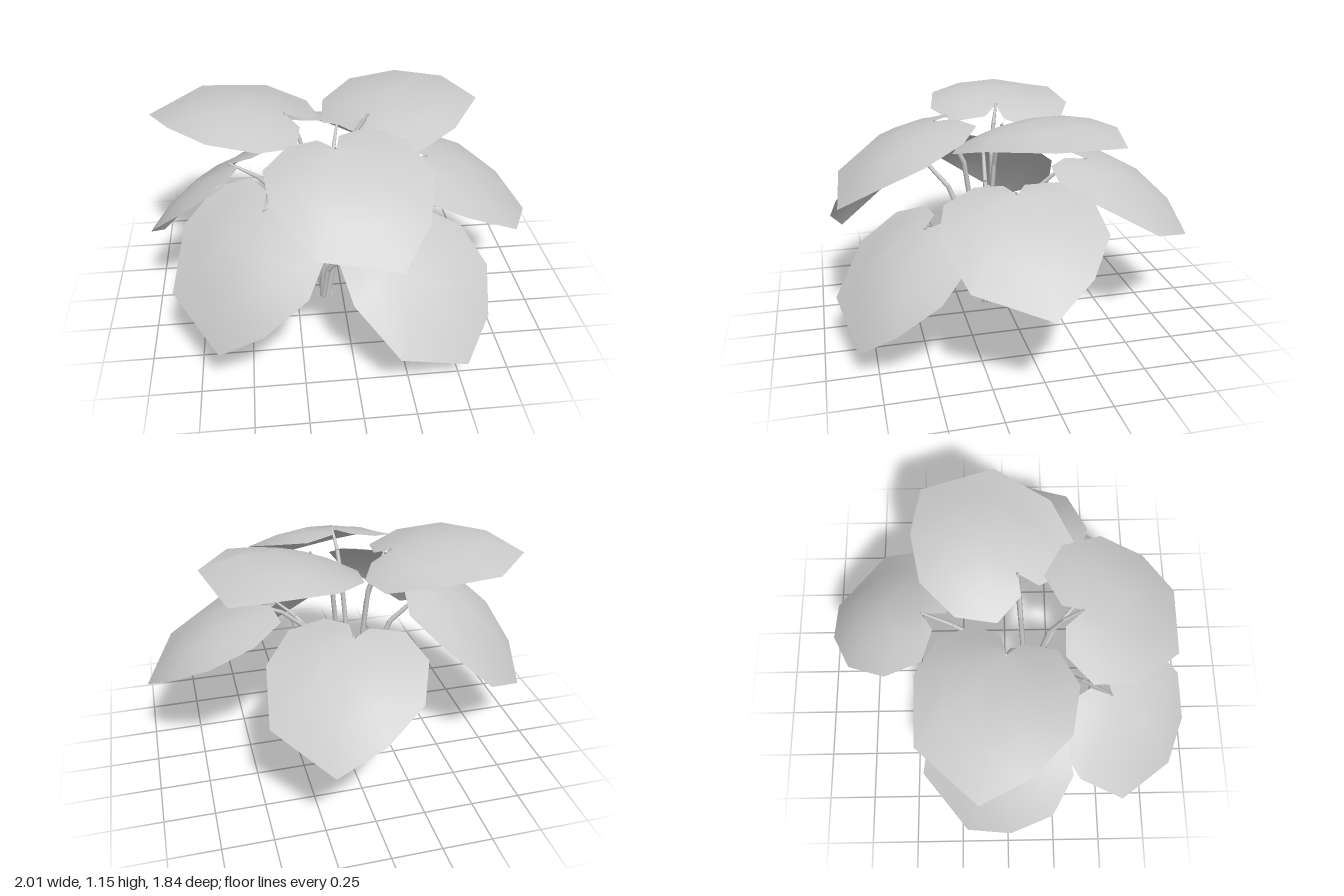
import * as THREE from 'three';
import { mergeGeometries } from 'three/addons/utils/BufferGeometryUtils.js';

const V = (a) => new THREE.Vector3(...a);
const UP = new THREE.Vector3(0, 1, 0);
const ROOT = new THREE.Vector3(-0.09, 0, 0.09);

// Each leaf: notch where the stem joins, tip, and roll about the midrib
const LEAVES = [
  { notch: [0.03, 0.84, -0.42], tip: [0.24, 0.45, -0.92], roll: -0.03 },
  { notch: [-0.28, 1.08, 0.0], tip: [-0.95, 1.05, -0.13], roll: 0 },
  { notch: [-0.57, 0.82, 0.02], tip: [-0.97, 0.3, -0.21], roll: 0 },
  { notch: [-0.41, 0.84, 0.51], tip: [-0.64, 0.32, 0.86], roll: -0.04 },
  { notch: [-0.06, 1.07, 0.37], tip: [0.18, 0.73, 0.88], roll: -0.13 },
  { notch: [0.26, 0.62, 0.48], tip: [0.52, 0.13, 0.84], roll: -0.07 },
  { notch: [0.44, 0.83, 0.06], tip: [1.0, 0.46, 0.03], roll: -0.08 },
  { notch: [0.13, 1.08, 0.06], tip: [0.6, 1.07, -0.41], roll: 0.04 },
];

// Blade outline [sideways, along], lobe to lobe past the tip; slightly lopsided
const LENGTH = 0.66;
const OUTLINE = [
  [0.04, -0.1], [0.17, -0.14], [0.335, -0.06], [0.4, 0.155], [0.325, 0.47],
  [0, LENGTH],
  [-0.21, 0.51], [-0.355, 0.3], [-0.355, 0.07], [-0.23, -0.085], [-0.06, -0.08],
];

// Blade: a fan of rings around the notch, arched along and across
function bladeGeometry({ notch, tip, roll }) {
  const base = V(notch);
  const along = V(tip).sub(base);
  const stretch = along.length() / LENGTH;
  along.normalize();
  const side = along.clone().cross(UP).normalize().applyAxisAngle(along, -roll);
  const normal = side.clone().cross(along);
  const positions = [...base.toArray()];
  const index = [];
  const rings = 3, n = OUTLINE.length;
  for (let r = 1; r <= rings; r++) {
    for (const [pu, pv] of OUTLINE) {
      const u = pu * r / rings, v = pv * r / rings, t = v / LENGTH;
      const h = 0.3 * t * (1 - t) - 0.45 * u * u;
      const p = base.clone().addScaledVector(side, u)
        .addScaledVector(along, v * stretch).addScaledVector(normal, h);
      positions.push(...p.toArray());
    }
  }
  for (let i = 0; i < n - 1; i++) {
    index.push(0, 1 + i, 2 + i);
    for (let r = 1; r < rings; r++) {
      const a = 1 + (r - 1) * n + i, b = a + n;
      index.push(a, b, b + 1, a, b + 1, a + 1);
    }
  }
  const g = new THREE.BufferGeometry();
  g.setAttribute('position', new THREE.Float32BufferAttribute(positions, 3));
  g.setIndex(index);
  g.computeVertexNormals();
  return g;
}

// One straight, tapering piece of stem
function stemPiece(a, b, ra, rb) {
  const d = b.clone().sub(a);
  const g = new THREE.CylinderGeometry(rb, ra, d.length(), 6);
  g.applyQuaternion(new THREE.Quaternion().setFromUnitVectors(UP, d.clone().normalize()));
  return g.translate(...a.clone().add(b).multiplyScalar(0.5).toArray());
}

// Stem: starts in a swirled bundle, rises steeply, then bends out to the blade
function stemGeometry({ notch }) {
  const end = V(notch);
  const out = end.clone().sub(ROOT).setY(0);
  const dir = out.clone().normalize();
  const swirl = new THREE.Vector3(-dir.z, 0, dir.x).multiplyScalar(0.025);
  const at = (offset, y) => ROOT.clone().add(offset).setY(y);
  const points = [
    at(swirl, 0),
    at(swirl.clone().addScaledVector(dir, 0.035), 0.2),
    at(out.clone().multiplyScalar(0.45), end.y * 0.78),
    at(out.clone().multiplyScalar(0.7), end.y * 0.92),
    end.clone().addScaledVector(UP, 0.01),
  ];
  const radii = [0.013, 0.014, 0.013, 0.011, 0.006];
  return mergeGeometries(points.slice(1).map((p, i) =>
    stemPiece(points[i], p, radii[i], radii[i + 1])));
}

export function createModel() {
  const model = new THREE.Group();
  model.name = 'leafyPlant';
  const bladeMaterial = new THREE.MeshStandardMaterial({ color: 0xcccccc, side: THREE.DoubleSide });
  const stemMaterial = new THREE.MeshStandardMaterial({ color: 0xcccccc });
  LEAVES.forEach((leaf, i) => {
    const group = new THREE.Group();
    group.name = `leaf${i + 1}`;
    const blade = new THREE.Mesh(bladeGeometry(leaf), bladeMaterial);
    blade.name = 'leafBlade';
    const stem = new THREE.Mesh(stemGeometry(leaf), stemMaterial);
    stem.name = 'leafStem';
    group.add(blade, stem);
    model.add(group);
  });
  return model;
}
